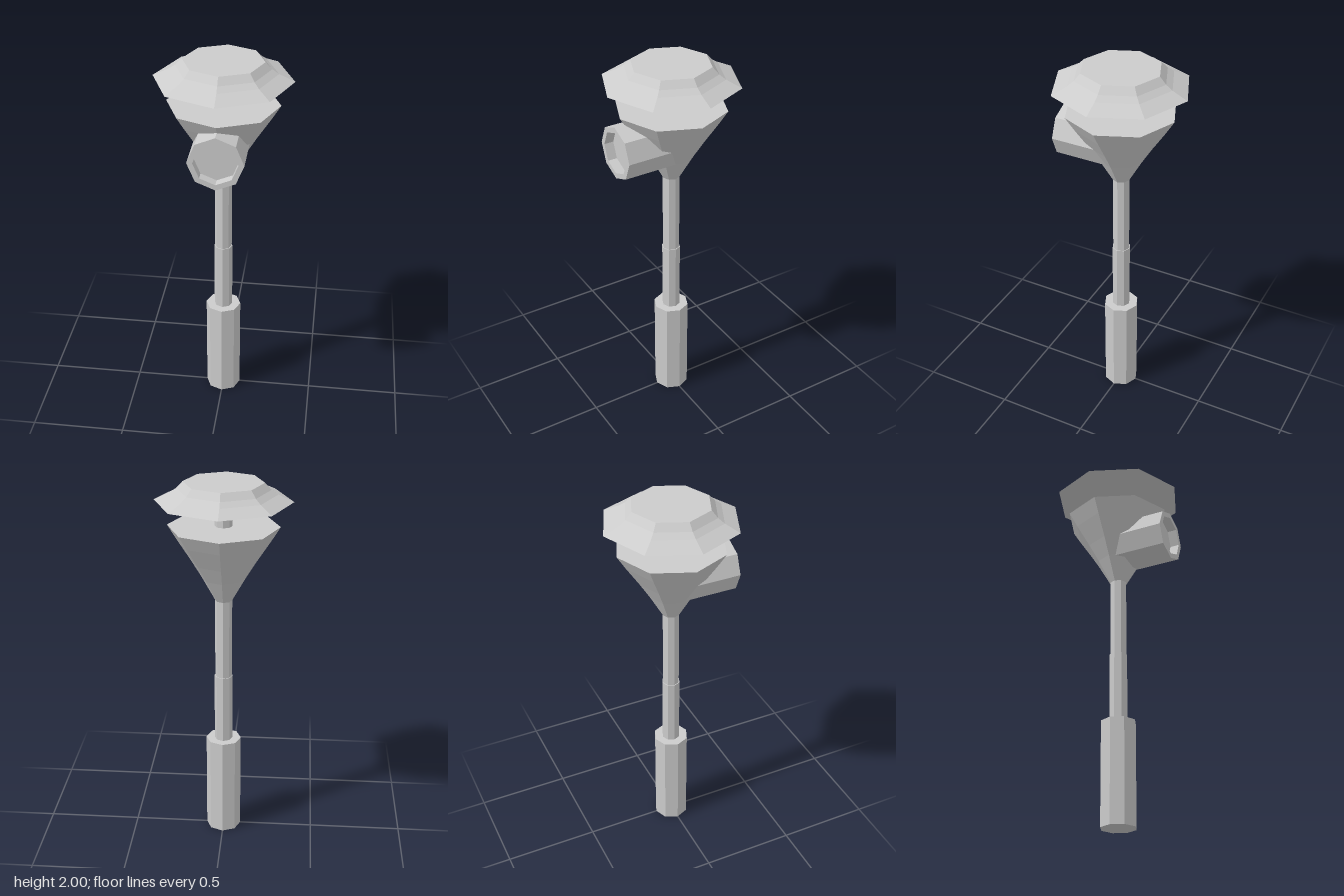
import * as THREE from 'three';

const material = new THREE.MeshStandardMaterial({ color: 0xcccccc, flatShading: true });

// Eight-sided turned part from [radius, height] pairs, listed bottom to top
function turned(name, profile) {
  const points = profile.map(([r, y]) => new THREE.Vector2(r, y));
  const mesh = new THREE.Mesh(new THREE.LatheGeometry(points, 8), material);
  mesh.name = name;
  return mesh;
}

export function createModel() {
  const model = new THREE.Group();
  model.name = 'lampPost';

  // Thick foot and slender post, a touch wider low down
  model.add(turned('base', [[0, 0], [0.095, 0], [0.095, 0.56], [0, 0.56]]));
  model.add(turned('lowerPost', [[0, 0.5], [0.049, 0.5], [0.049, 0.94], [0, 0.94]]));
  model.add(turned('post', [[0, 0.5], [0.045, 0.5], [0.045, 1.92], [0, 1.92]]));

  // Flared funnel with a flat lid
  model.add(turned('funnel', [
    [0, 1.375], [0.045, 1.375], [0.115, 1.5], [0.17, 1.59], [0.242, 1.7], [0.288, 1.775], [0, 1.775],
  ]));

  // Roof cap with a flat top and closed underside
  model.add(turned('roofCap', [
    [0, 1.905], [0.352, 1.905], [0.272, 1.942], [0.238, 1.965], [0.205, 2], [0, 2],
  ]));

  // Forward-facing barrel with a recessed face
  const barrel = turned('barrel', [
    [0, 0], [0.141, 0], [0.141, 0.32], [0.112, 0.32], [0.112, 0.27], [0, 0.27],
  ]);
  barrel.rotation.x = Math.PI / 2;
  barrel.position.y = 1.597;
  model.add(barrel);

  return model;
}
